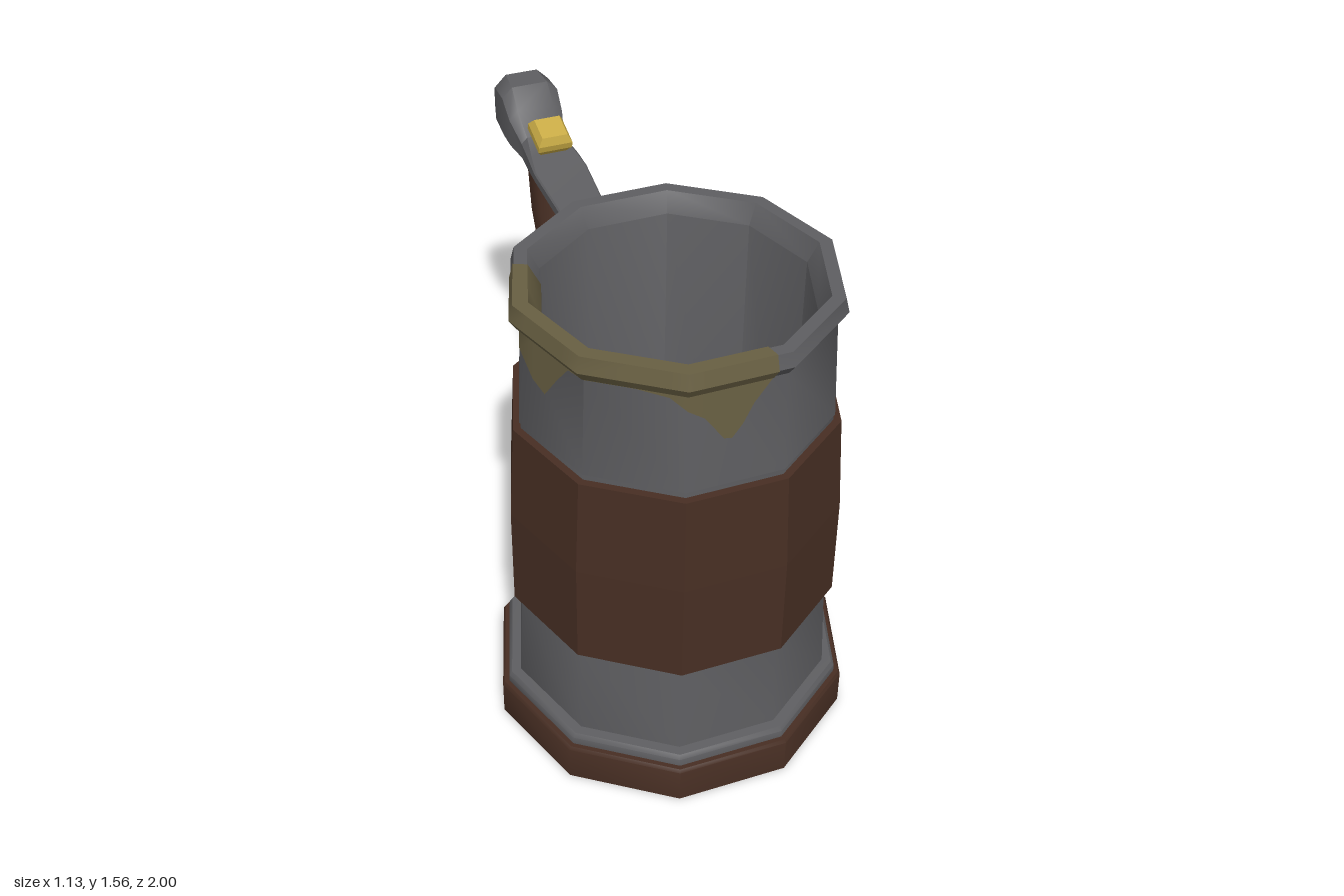
import * as THREE from 'three';
import { toCreasedNormals } from 'three/addons/utils/BufferGeometryUtils.js';

const mat = (name, color, side = THREE.FrontSide) => {
  const m = new THREE.MeshStandardMaterial({ color, side });
  m.name = name;
  return m;
};

const SIDES = 10;
const CREASE = 0.66; // the 36 degree corners stay smooth, rims stay sharp
const MUG_Z = 0.46;

// Ten-sided turned part, with corners on the x axis
function turned(profile, crease = CREASE) {
  const pts = profile.map(([r, y]) => new THREE.Vector2(r, y));
  return toCreasedNormals(new THREE.LatheGeometry(pts, SIDES, Math.PI / 2), crease);
}

// Skin stretched over a row of equal-length rings of [x, y, z]
function loft(rings, closed = true, crease = CREASE) {
  const n = rings[0].length;
  const pos = rings.flat(2);
  const idx = [];
  for (let i = 0; i < rings.length - 1; i++) {
    for (let j = 0; j < (closed ? n : n - 1); j++) {
      const k = (j + 1) % n;
      const a = i * n + j, b = i * n + k, c = b + n, d = a + n;
      idx.push(a, b, c, a, c, d);
    }
  }
  if (closed) {
    [0, rings.length - 1].forEach((r, end) => {
      const centre = [0, 1, 2].map(k => rings[r].reduce((s, p) => s + p[k], 0) / n);
      const ci = pos.length / 3;
      pos.push(...centre);
      for (let j = 0; j < n; j++) {
        const a = r * n + j, b = r * n + (j + 1) % n;
        if (end) idx.push(ci, a, b); else idx.push(ci, b, a);
      }
    });
  }
  const g = new THREE.BufferGeometry();
  g.setAttribute('position', new THREE.Float32BufferAttribute(pos, 3));
  g.setIndex(idx);
  return toCreasedNormals(g, crease);
}

// Chamfered bar running along z: sections of [z, bottom, top, half width, chamfer]
function bar(sections) {
  return loft(sections.map(([z, y0, y1, w, c]) => [
    [w, y1 - c, z], [w, y0 + c, z], [w - c, y0, z], [c - w, y0, z],
    [-w, y0 + c, z], [-w, y1 - c, z], [c - w, y1, z], [w - c, y1, z],
  ]));
}

export function createModel() {
  const model = new THREE.Group();
  model.name = 'tankard';

  const metal = mat('metal', 0x5e5e61);
  const wood = mat('wood', 0x472e23);
  const gold = mat('gold', 0xc9ab45);
  const stain = mat('stain', 0x685f42, THREE.DoubleSide);
  const shadow = mat('dark floor', 0x303030);

  const add = (name, geometry, material, parent = model) => {
    const m = new THREE.Mesh(geometry, material);
    m.name = name;
    parent.add(m);
    return m;
  };

  const mug = new THREE.Group();
  mug.name = 'mug';
  mug.position.z = MUG_Z;
  model.add(mug);

  // Wooden foot
  add('foot', turned([[0, 0], [0.567, 0], [0.567, 0.115], [0.56, 0.125], [0.5, 0.125]]), wood, mug);

  // Metal body with rim and hollow inside
  add('body', turned([
    [0.545, 0.125], [0.545, 0.15], [0.535, 0.163], [0.505, 0.165],
    [0.491, 0.468], [0.482, 0.47], [0.482, 0.495], [0.473, 1.12],
    [0.473, 1.152], [0.477, 1.155], [0.462, 1.48],
    [0.468, 1.483], [0.491, 1.515], [0.48, 1.56], [0.44, 1.56],
    [0.405, 1.5], [0.393, 0.2],
  ]), metal, mug);
  add('insideFloor', turned([[0.395, 0.2], [0, 0.2]]), shadow, mug);

  // Flat wooden staves around the middle
  add('staves', turned([
    [0.47, 0.485], [0.515, 0.485], [0.515, 0.82], [0.497, 1.135], [0.465, 1.135],
  ], 0.02), wood, mug);

  // Dried drink over the rim: [angle in degrees, lowest point of the drip]
  const drips = [
    [-115, 1.475], [-100, 1.46], [-90, 1.42], [-82, 1.35], [-75, 1.33], [-68, 1.41],
    [-62, 1.47], [-54, 1.476], [-36, 1.476], [-24, 1.465], [-18, 1.43], [-12, 1.395],
    [-5, 1.315], [-2, 1.31], [2, 1.35], [6, 1.41], [9, 1.44], [12.5, 1.475],
  ];
  const around = (deg, r, y) => {
    const offset = ((deg + 18 + 360) % 36) - 18;
    const rad = THREE.MathUtils.degToRad;
    const R = r * Math.cos(rad(18)) / Math.cos(rad(offset));
    return [R * Math.sin(rad(deg)), y, R * Math.cos(rad(deg))];
  };
  add('stain', loft(drips.map(([deg, y]) => [
    [0.477 - (y - 1.155) * 0.046 + 0.004, y], [0.466, 1.479], [0.472, 1.481],
    [0.495, 1.515], [0.483, 1.564], [0.438, 1.564], [0.401, 1.5], [0.4, 1.46],
  ].map(([r, h]) => around(deg, r, h))), false), stain, mug);

  const handle = new THREE.Group();
  handle.name = 'handle';
  model.add(handle);

  // Upper arm, swelling into a thumb knob
  add('upperArm', bar([
    [0.03, 1.225, 1.37, 0.08, 0.005], [0.005, 1.228, 1.36, 0.08, 0.005],
    [-0.04, 1.233, 1.285, 0.078, 0.005], [-0.2, 1.25, 1.292, 0.07, 0.005],
    [-0.55, 1.3, 1.335, 0.09, 0.005], [-0.62, 1.29, 1.35, 0.085, 0.01],
    [-0.73, 1.272, 1.365, 0.075, 0.02], [-0.8, 1.276, 1.43, 0.093, 0.03],
    [-0.86, 1.28, 1.488, 0.097, 0.035], [-0.95, 1.29, 1.49, 0.095, 0.04],
    [-0.98, 1.33, 1.46, 0.088, 0.035], [-1, 1.375, 1.42, 0.075, 0.02],
  ]), metal, handle);

  // Lower arm, curling out into a flared tip
  add('lowerArm', bar([
    [0.01, 0.22, 0.345, 0.08, 0.004], [-0.02, 0.23, 0.36, 0.08, 0.004],
    [-0.06, 0.3, 0.395, 0.075, 0.004], [-0.1, 0.345, 0.425, 0.07, 0.004],
    [-0.2, 0.36, 0.428, 0.07, 0.004], [-0.3, 0.358, 0.424, 0.08, 0.004],
    [-0.42, 0.335, 0.375, 0.095, 0.004], [-0.55, 0.308, 0.33, 0.112, 0.004],
    [-0.592, 0.3, 0.312, 0.085, 0.003],
  ]), metal, handle);

  // Knobbly wooden grip: rings of [height, z, radius]
  const grip = [
    [0.33, -0.48, 0.088], [0.42, -0.492, 0.1], [0.58, -0.517, 0.08], [0.7, -0.535, 0.086],
    [0.82, -0.56, 0.07], [0.93, -0.575, 0.08], [1.03, -0.592, 0.071], [1.16, -0.622, 0.081],
    [1.32, -0.645, 0.083],
  ].map(([y, z, r]) => Array.from({ length: SIDES }, (_, i) => {
    const a = i / SIDES * Math.PI * 2;
    return [r * Math.cos(a), y, z - r * Math.sin(a)];
  }));
  add('grip', loft(grip), wood, handle);

  // Square gold rivets: y, z, half width, half height, tilt
  const rivet = (name, y, z, w, h, tilt) => {
    const R = w * Math.SQRT2;
    const pts = [[0, -h], [R * 0.75, -h], [R, -h * 0.3], [R, h * 0.3], [R * 0.75, h], [0, h]]
      .map(p => new THREE.Vector2(...p));
    const g = toCreasedNormals(new THREE.LatheGeometry(pts, 4, Math.PI / 4), 0.1);
    const m = add(name, g, gold, handle);
    m.position.set(0, y, z);
    m.rotation.x = tilt;
  };
  rivet('upperGripRivet', 1.405, -0.652, 0.058, 0.038, 0.3);
  rivet('upperWallRivet', 1.335, -0.03, 0.033, 0.026, -0.8);
  rivet('lowerWallRivet', 0.26, -0.093, 0.038, 0.034, -2.3);
  rivet('lowerGripRivet', 0.292, -0.45, 0.055, 0.038, Math.PI - 0.15);

  return model;
}
